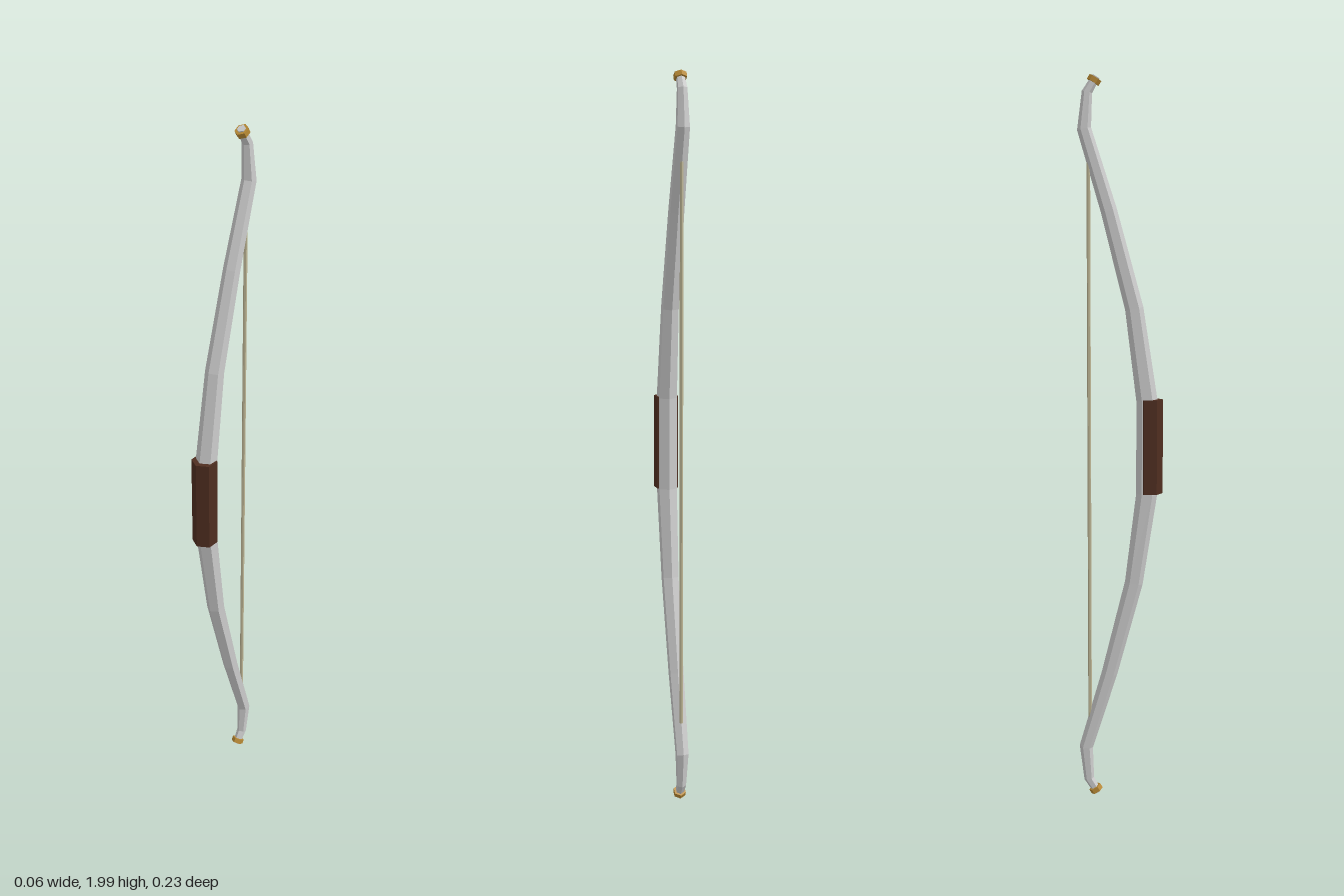
import * as THREE from 'three';

const paint = (color) => new THREE.MeshStandardMaterial({ color, flatShading: true });

// Upper limb centre line: [y, z, radius], mirrored about y = 1
const HALF = [
  [1.13, 0.07, 0.029],
  [1.38, 0.035, 0.025],
  [1.64, -0.033, 0.022],
  [1.855, -0.099, 0.019],
  [1.95, -0.091, 0.014],
  [1.99, -0.067, 0.011],
];

// Six-sided bar swept along the path, its rings mitred at each bend
function sweptBar(path) {
  const n = path.length - 1;
  const geo = new THREE.CylinderGeometry(1, 1, n, 6, n);
  const pos = geo.attributes.position;
  for (let i = 0; i < pos.count; i++) {
    const k = Math.round(pos.getY(i) + n / 2);
    const [y, z, r] = path[k];
    const a = path[Math.max(k - 1, 0)], b = path[Math.min(k + 1, n)];
    const tilt = Math.atan2(b[1] - a[1], b[0] - a[0]);
    const w = pos.getZ(i) * r;
    pos.setXYZ(i, pos.getX(i) * r, y - w * Math.sin(tilt), z + w * Math.cos(tilt));
  }
  geo.computeVertexNormals();
  return geo;
}

export function createModel() {
  const group = new THREE.Group();
  const add = (name, geo, mat, y = 0, z = 0) => {
    const mesh = new THREE.Mesh(geo, mat);
    mesh.name = name;
    mesh.position.set(0, y, z);
    group.add(mesh);
    return mesh;
  };
  const metal = paint(0xcccccc);
  const leather = paint(0x4f2e20);
  const gold = paint(0xb98a35);
  const cord = paint(0xbdb594);

  // Bow stave, both limbs in one piece
  const lower = HALF.map(([y, z, r]) => [2 - y, z, r]).reverse();
  add('limbs', sweptBar([...lower, ...HALF]), metal);

  // Wrapped hand grip
  add('grip', new THREE.CylinderGeometry(0.035, 0.035, 0.26, 6), leather, 1.003, 0.079);

  // Bowstring running between the two bends
  add('string', new THREE.CylinderGeometry(0.005, 0.005, 1.68, 6), cord, 1, -0.088);

  // Gold collars just below each tip
  for (const s of [1, -1]) {
    const collar = add(s > 0 ? 'upperCollar' : 'lowerCollar',
      new THREE.CylinderGeometry(0.018, 0.018, 0.014, 6), gold, 1 + s * 0.981, -0.072);
    collar.rotation.x = s * 0.54;
  }
  return group;
}
